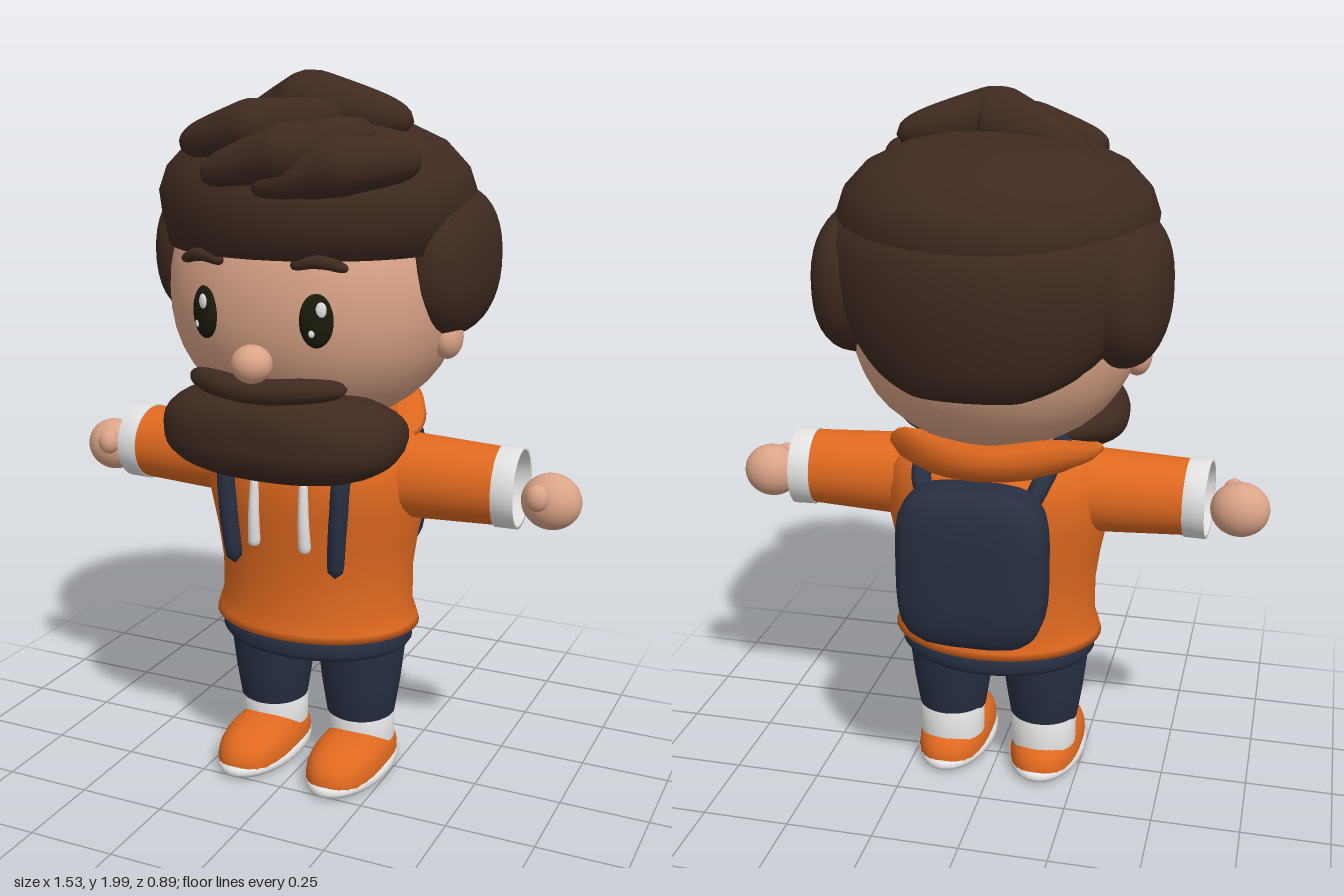
import * as THREE from 'three';
import { mergeVertices } from 'three/addons/utils/BufferGeometryUtils.js';

const mat = (name, color, side = THREE.FrontSide) => new THREE.MeshStandardMaterial({ name, color, side });
const skin = mat('skin', 0xdba487);
const hair = mat('hair brown', 0x3f2a20, THREE.DoubleSide);
const orange = mat('hoodie orange', 0xe0691f, THREE.DoubleSide);
const navy = mat('navy cloth', 0x272f42);
const white = mat('off white', 0xe2e2e2, THREE.DoubleSide);
const dark = mat('eye dark', 0x1a1a0c);

function add(parent, name, geo, material, x = 0, y = 0, z = 0) {
  const m = new THREE.Mesh(geo, material);
  m.name = name;
  m.position.set(x, y, z);
  parent.add(m);
  return m;
}

// Weld the seam and give smooth normals
function smooth(geo) {
  geo.deleteAttribute('uv');
  geo.deleteAttribute('normal');
  const g = mergeVertices(geo, 1e-5);
  g.computeVertexNormals();
  return g;
}

// Move every vertex of a geometry by a rule
function bend(geo, rule) {
  const p = geo.attributes.position;
  const v = new THREE.Vector3();
  for (let i = 0; i < p.count; i++) {
    rule(v.fromBufferAttribute(p, i));
    p.setXYZ(i, v.x, v.y, v.z);
  }
  return smooth(geo);
}

// Ellipsoid; an exponent over 2 makes it boxier
function blob(rx, ry, rz, e = 2, rule = () => {}) {
  return bend(new THREE.SphereGeometry(1, 32, 22), v => {
    const s = (Math.abs(v.x) ** e + Math.abs(v.y) ** e + Math.abs(v.z) ** e) ** (-1 / e);
    v.set(v.x * s * rx, v.y * s * ry, v.z * s * rz);
    rule(v);
  });
}

// Round-ended tube through points [x, y, z, radius]; a higher blunt value shortens the end caps
function taper(pts, tension = 0.5, blunt = 8) {
  const n = 40, sides = 14;
  const curve = new THREE.CatmullRomCurve3(pts.map(a => new THREE.Vector3(a[0], a[1], a[2])), false, 'catmullrom', tension);
  const g = new THREE.TubeGeometry(curve, n, 1, sides, false);
  const p = g.attributes.position;
  const v = new THREE.Vector3();
  for (let i = 0; i <= n; i++) {
    const u = i / n, c = curve.getPointAt(u);
    const t = u * (pts.length - 1), k = Math.min(Math.floor(t), pts.length - 2);
    const r = THREE.MathUtils.lerp(pts[k][3], pts[k + 1][3], t - k) * Math.sqrt(Math.max(0, 1 - Math.abs(2 * u - 1) ** blunt));
    for (let j = 0; j <= sides; j++) {
      const q = i * (sides + 1) + j;
      v.fromBufferAttribute(p, q).sub(c).multiplyScalar(r).add(c);
      p.setXYZ(q, v.x, v.y, v.z);
    }
  }
  return smooth(g);
}

const lathe = (pts, zScale = 1, start = 0, len = Math.PI * 2) =>
  new THREE.LatheGeometry(pts.map(a => new THREE.Vector2(a[0], a[1])), 40, start, len).scale(1, 1, zScale);

function buildHead(parent) {
  const head = new THREE.Group();
  head.name = 'head';
  parent.add(head);
  add(head, 'face', blob(0.4, 0.375, 0.385, 2.2), skin, 0, 1.42, -0.01);
  add(head, 'nose', blob(0.054, 0.05, 0.052), skin, 0, 1.275, 0.395);

  // Hair cap
  add(head, 'hairCap', lathe([[0.33, 1.54], [0.398, 1.54], [0.415, 1.62], [0.422, 1.68], [0.4, 1.745],
    [0.34, 1.81], [0.24, 1.858], [0.12, 1.885], [0, 1.89]]).scale(1.025, 1, 1), hair, 0, 0, -0.008);
  // Back of hair; its lower edge rises toward the ears
  const back = lathe([[0.33, 1.27], [0.385, 1.26], [0.415, 1.34], [0.438, 1.44], [0.443, 1.53],
    [0.435, 1.61], [0.41, 1.67], [0.36, 1.69]], 1, Math.PI - 1.4, 2.8).scale(1.06, 1, 1);
  add(head, 'backHair', bend(back, v => {
    const low = THREE.MathUtils.clamp((1.69 - v.y) / 0.43, 0, 1);
    v.y += low * Math.max(0, v.z + 0.365) * 0.7;
  }), hair, 0, 0, -0.005);

  // Swept tufts on top and over the brow
  const tufts = [
    [[-0.25, 1.84, -0.05, 0.04], [0.03, 1.9, 0.07, 0.1], [0.29, 1.865, 0.03, 0.045]],
    [[-0.25, 1.81, 0.29, 0.04], [-0.04, 1.855, 0.31, 0.075], [0.18, 1.89, 0.24, 0.045]],
    [[-0.15, 1.74, 0.37, 0.04], [0.08, 1.80, 0.37, 0.075], [0.28, 1.85, 0.26, 0.05]],
    [[0.0, 1.71, 0.39, 0.035], [0.21, 1.775, 0.345, 0.08], [0.37, 1.785, 0.19, 0.05]],
  ];
  tufts.forEach((t, i) => add(head, 'tuft' + (i + 1), taper(t, 0.1), hair));

  // Beard, raised under the mouth and narrowing toward the ears
  add(head, 'beard', blob(0.34, 0.133, 0.215, 2.5, v => {
    const f = v.z / 0.215;
    if (f < 0) v.y = v.y * (1 + f * 0.6) - 0.01 * f * f;
    else if (v.y > 0) v.y += 0.03 * f * (1 - Math.abs(v.x) / 0.34);
  }), hair, 0, 1.062, 0.208);
  add(head, 'moustache', taper([[-0.225, 1.21, 0.3, 0.028], [-0.12, 1.208, 0.362, 0.034], [0, 1.2, 0.378, 0.034],
    [0.12, 1.208, 0.362, 0.034], [0.225, 1.21, 0.3, 0.028]]), hair);

  for (const s of [-1, 1]) {
    add(head, 'sideHair', blob(0.12, 0.2, 0.235, 2.3), hair, s * 0.36, 1.5, -0.07);
    add(head, 'ear', blob(0.04, 0.058, 0.055), skin, s * 0.385, 1.305, 0);
    add(head, 'eyebrow', taper([[s * 0.095, 1.527, 0.365, 0.015], [s * 0.165, 1.54, 0.35, 0.019],
      [s * 0.235, 1.52, 0.322, 0.013]]), hair);
    // Eye with two highlights
    const eye = new THREE.Group();
    eye.name = 'eye';
    eye.position.set(s * 0.158, 1.39, 0.345);
    eye.rotation.y = s * 0.4;
    head.add(eye);
    add(eye, 'iris', blob(0.044, 0.07, 0.022), dark);
    add(eye, 'highlight', blob(0.014, 0.02, 0.006), white, 0.012, 0.03, 0.018);
    add(eye, 'smallHighlight', blob(0.008, 0.01, 0.005), white, -0.012, -0.03, 0.018);
  }
}

function buildTorso(parent) {
  const torso = new THREE.Group();
  torso.name = 'torso';
  parent.add(torso);
  add(torso, 'hoodieBody', lathe([[0.27, 0.455], [0.305, 0.455], [0.3, 0.475], [0.285, 0.52], [0.284, 0.62], [0.298, 0.72],
    [0.318, 0.82], [0.325, 0.9], [0.31, 0.97], [0.27, 1.02], [0.15, 1.05], [0, 1.05]], 0.785), orange, 0, 0, -0.004);

  // Lowered hood around the nape, tallest at the back with a wavy rim
  const hood = lathe([[0.2, 0], [0.25, 0.02], [0.285, 0.25], [0.3, 0.55], [0.295, 0.85], [0.28, 1], [0.22, 0.9]], 1.05, Math.PI - 1.65, 3.3);
  add(torso, 'hood', bend(hood, v => {
    const rise = THREE.MathUtils.clamp(-v.z / 0.3, 0, 1);
    const wave = 0.012 * Math.cos(4 * Math.atan2(v.x, -v.z) + Math.PI);
    v.y = 1.005 + v.y * (0.05 + 0.08 * rise + wave);
  }), orange, 0, 0, -0.018);

  add(torso, 'backpack', blob(0.205, 0.228, 0.094, 4), navy, 0, 0.78, -0.316);
  for (const s of [-1, 1]) {
    add(torso, 'backpackStrap', taper([[s * 0.153, 0.655, 0.215, 0.024], [s * 0.167, 0.83, 0.226, 0.026], [s * 0.175, 0.97, 0.2, 0.026],
      [s * 0.18, 1.03, 0, 0.026], [s * 0.17, 1.0, -0.2, 0.028], [s * 0.14, 0.93, -0.27, 0.026]], 0.5, 30), navy);
    add(torso, 'drawstring', taper([[s * 0.073, 0.93, 0.245, 0.012], [s * 0.075, 0.82, 0.25, 0.015],
      [s * 0.077, 0.725, 0.244, 0.018]], 0.5, 14), white);
  }
  add(torso, 'waistband', lathe([[0, 0.395], [0.275, 0.395], [0.286, 0.41], [0.286, 0.46], [0.2, 0.47]], 0.78), navy, 0, 0, -0.003);
}

// Arm and leg on the model's left side; mirrored for the right
function buildLimbs(side) {
  const g = new THREE.Group();
  g.name = side > 0 ? 'leftLimbs' : 'rightLimbs';
  g.scale.x = side;

  const arm = new THREE.Group();
  arm.name = 'arm';
  arm.position.set(0, 0.908, -0.01);
  g.add(arm);
  add(arm, 'sleeve', lathe([[0.106, -0.56], [0.117, -0.32], [0.122, -0.2]]).rotateZ(Math.PI / 2), orange);
  const cuff = add(arm, 'cuff', lathe([[0.104, -0.03], [0.112, -0.03], [0.112, 0.03], [0.104, 0.03], [0.104, -0.03]])
    .rotateZ(Math.PI / 2), white, 0.57, 0, -0.002);
  cuff.rotation.y = 0.06;
  add(arm, 'hand', blob(0.082, 0.077, 0.069), skin, 0.684, -0.025, 0);
  add(arm, 'thumb', blob(0.032, 0.037, 0.03), skin, 0.662, 0, 0.066);

  add(g, 'trouserLeg', lathe([[0, 0.17], [0.092, 0.17], [0.099, 0.175], [0.114, 0.27], [0.129, 0.4], [0.125, 0.44]]), navy, 0.141, 0, -0.004);
  add(g, 'sock', lathe([[0.096, 0.09], [0.097, 0.185], [0.07, 0.185]]), white, 0.141, 0, -0.012);
  add(g, 'shoe', blob(0.106, 0.1, 0.202, 2.4, v => { if (v.y < 0) v.y *= 0.28; }), orange, 0.142, 0.037, 0.06);
  add(g, 'sole', new THREE.TorusGeometry(0.094, 0.021, 12, 40).rotateX(Math.PI / 2).scale(1, 1, 1.88), white, 0.142, 0.029, 0.06);
  return g;
}

export function createModel() {
  const model = new THREE.Group();
  model.name = 'beardedHiker';
  buildHead(model);
  buildTorso(model);
  for (const s of [-1, 1]) model.add(buildLimbs(s));
  return model;
}
